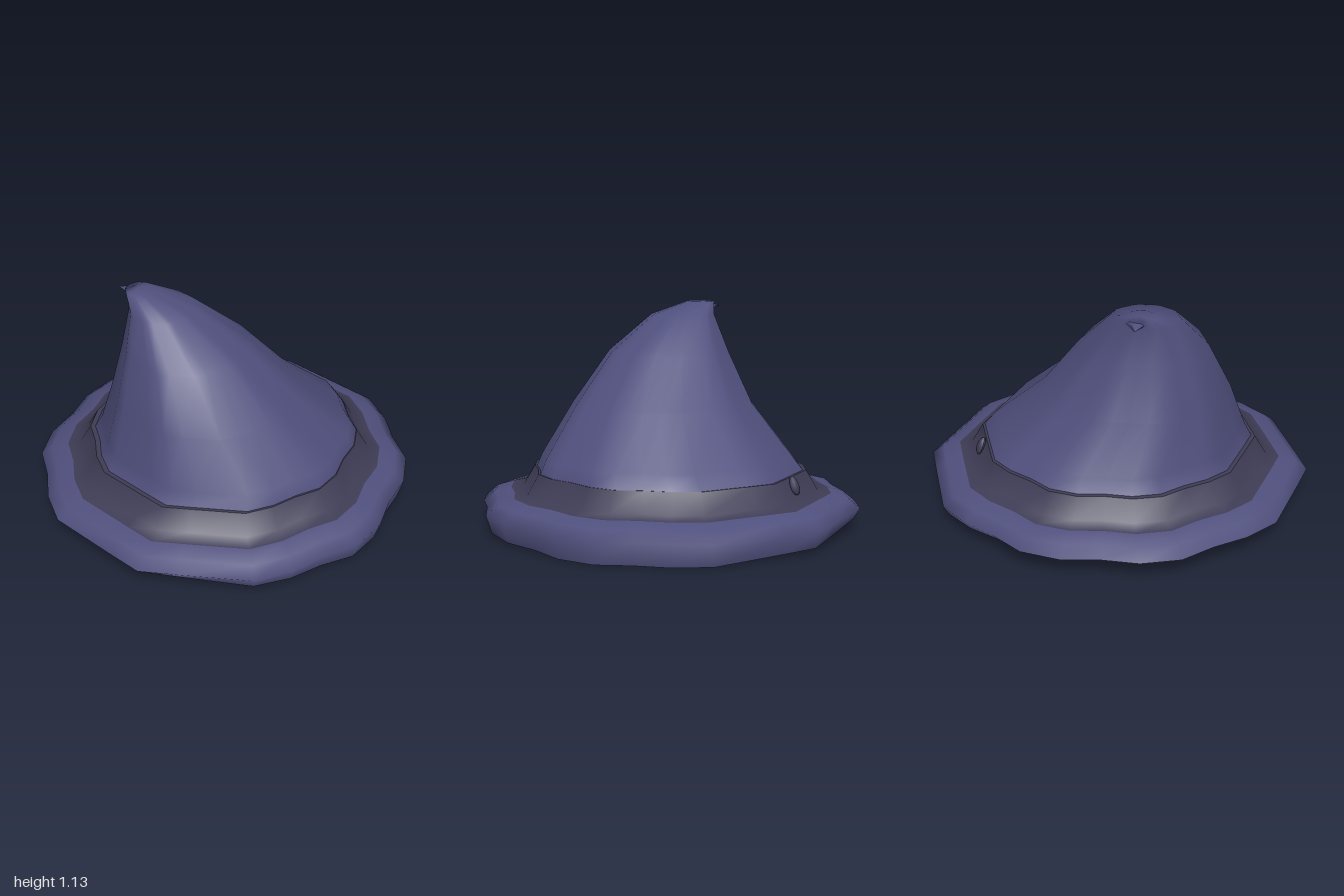
import * as THREE from 'three';

// Plan outline of one side of the hat, from front (+z) to back (-z)
const quarter = [[0, 1], [0.18, 0.945], [0.54, 0.83], [0.68, 0.69], [0.78, 0.53], [0.9, 0.385], [0.95, 0.19]];
const half = [...quarter, [0.935, 0], ...quarter.map(([x, z]) => [x, -z]).reverse()];
const outline = [...half, ...half.slice(1, -1).reverse().map(([x, z]) => [-x, z])];

// Ring concentric with the brim; y may be a number or a function of x and z
const ring = (s, y) => outline.map(([x, z]) => [x * s, typeof y === 'function' ? y(x * s, z * s) : y, z * s]);

// Ring fitted between given x and z limits
const fitted = (y, x0, x1, z0, z1) => outline.map(([x, z]) => [
  (x0 + x1) / 2 + (x / 0.95) * (x1 - x0) / 2, y, (z0 + z1) / 2 + z * (z1 - z0) / 2]);

// Skin rings listed from bottom to top, with an optional closing point on top
function loft(rings, apex) {
  const n = outline.length, index = [], points = rings.flat();
  for (let r = 0; r < rings.length - 1; r++) {
    for (let i = 0; i < n; i++) {
      const a = r * n + i, b = r * n + (i + 1) % n;
      index.push(a, b, b + n, a, b + n, a + n);
    }
  }
  if (apex) {
    const base = (rings.length - 1) * n;
    for (let i = 0; i < n; i++) index.push(points.length, base + i, base + (i + 1) % n);
    points.push(apex);
  }
  const geometry = new THREE.BufferGeometry();
  geometry.setAttribute('position', new THREE.Float32BufferAttribute(points.flat(), 3));
  geometry.setIndex(index);
  geometry.computeVertexNormals();
  return geometry;
}

export function createModel() {
  const hat = new THREE.Group();
  hat.name = 'pointedHat';
  const cloth = new THREE.MeshStandardMaterial({ name: 'indigoCloth', color: 0x50507e });
  const bandCloth = new THREE.MeshStandardMaterial({ name: 'darkBand', color: 0x3f3d56 });

  const add = (name, geometry, material) => {
    const mesh = new THREE.Mesh(geometry, material);
    mesh.name = name;
    hat.add(mesh);
    return mesh;
  };

  // Brim with a slanted lower edge
  const slant = (x, z) => Math.min(0.105, Math.max(0, 0.055 - 0.052 * x + 0.03 * z));
  const lowerEdge = ring(0.97, slant);
  add('brim', loft([lowerEdge, ring(1, 0.113), ring(0.94, 0.16), ring(0.85, 0.184)]), cloth);

  // Flat underside, turned to face down
  const underside = loft([lowerEdge], [0, 0.055, 0]);
  underside.setIndex([...underside.index.array].reverse());
  underside.computeVertexNormals();
  add('underside', underside, cloth);

  // Band flaring out onto the brim, closed by a narrow top ledge
  add('band', loft([ring(0.85, 0.184), ring(0.78, 0.2), ring(0.72, 0.3)]), bandCloth);
  add('bandLedge', loft([ring(0.72, 0.3), ring(0.68, 0.3)]), bandCloth);

  // Crown leaning towards one side
  add('crown', loft([
    fitted(0.3, -0.66, 0.68, -0.71, 0.7),
    fitted(0.37, -0.62, 0.65, -0.65, 0.66),
    fitted(0.62, -0.52, 0.41, -0.37, 0.58),
    fitted(0.88, -0.45, 0.17, -0.18, 0.465),
    fitted(1.065, -0.42, -0.1, -0.02, 0.33),
    fitted(1.13, -0.46, -0.33, 0.075, 0.22),
  ], [-0.4, 1.132, 0.14]), cloth);

  // Small hooked tip
  const tip = new THREE.ConeGeometry(1, 0.12, 8);
  tip.rotateZ(Math.PI / 2);
  tip.scale(1, 0.028, 0.06);
  add('tip', tip, cloth).position.set(-0.46, 1.102, 0.125);

  // Small teardrop at the back of the band
  const drop = new THREE.SphereGeometry(1, 10, 8);
  const p = drop.attributes.position;
  for (let i = 0; i < p.count; i++) {
    const taper = 1 - 0.35 * p.getY(i);
    p.setXYZ(i, p.getX(i) * 0.036 * taper, p.getY(i) * 0.05, p.getZ(i) * 0.02);
  }
  drop.computeVertexNormals();
  const teardrop = add('teardrop', drop, bandCloth);
  teardrop.position.set(-0.17, 0.265, -0.7);
  teardrop.rotation.set(0.4, 0.3, 0);

  return hat;
}
